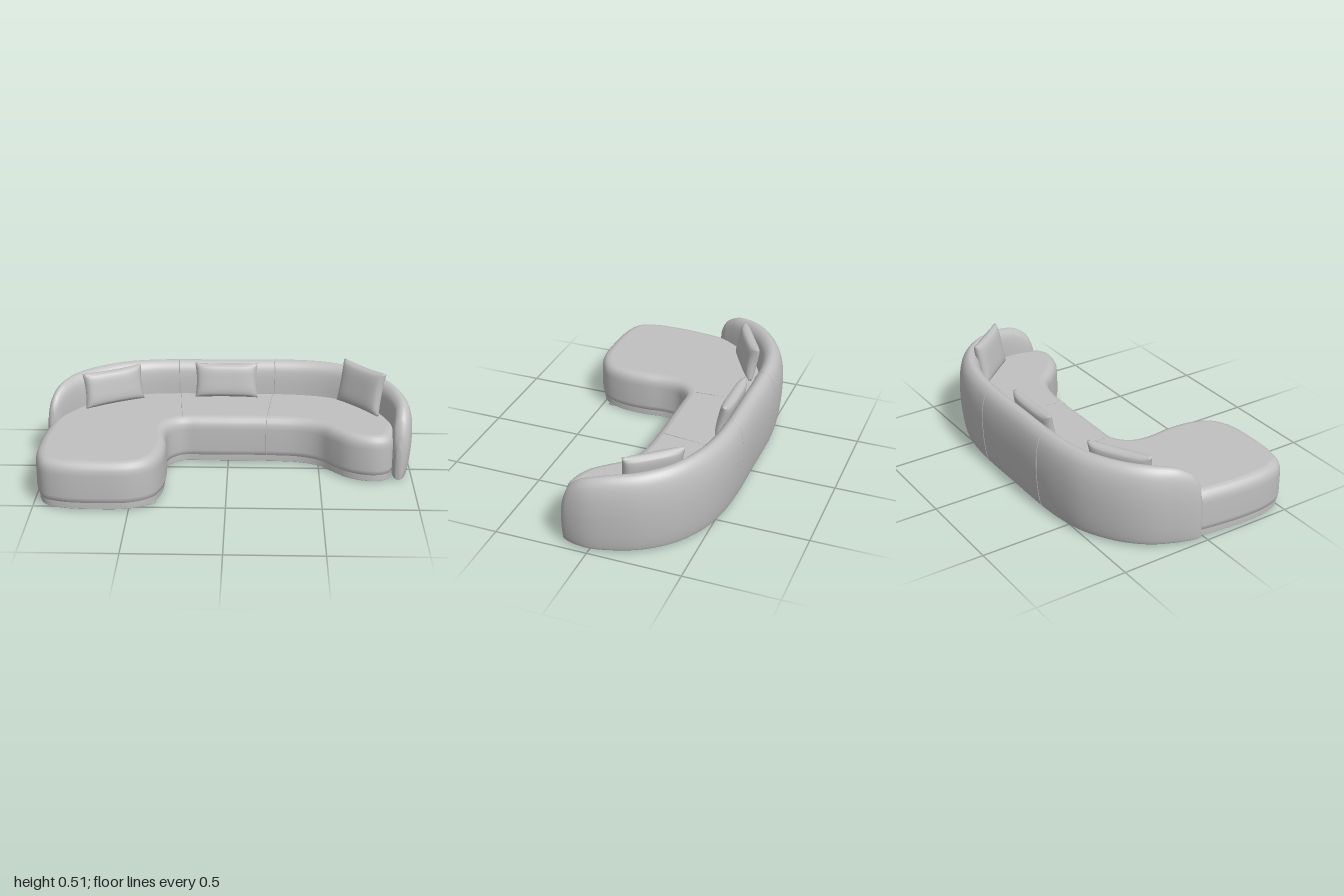
import * as THREE from 'three';
import { mergeVertices } from 'three/addons/utils/BufferGeometryUtils.js';

const fabric = new THREE.MeshStandardMaterial({ color: 0xc0c0c0 });
fabric.name = 'grey fabric';

function mesh(name, geometry) {
  const m = new THREE.Mesh(geometry, fabric);
  m.name = name;
  return m;
}

function build(positions, index) {
  const g = new THREE.BufferGeometry();
  g.setAttribute('position', new THREE.Float32BufferAttribute(positions, 3));
  g.setIndex(index);
  g.computeVertexNormals();
  return g;
}

// Plan of the seat (x, z), from the left of the chaise along the front and round the back
const plan = [
  [-0.965, -0.05], [-0.988, 0.1], [-0.998, 0.25], [-0.988, 0.4], [-0.945, 0.5], [-0.85, 0.545],
  [-0.65, 0.561], [-0.48, 0.545], [-0.375, 0.48], [-0.328, 0.36], [-0.32, 0.22], [-0.332, 0.09],
  [-0.315, 0.005], [-0.25, -0.055], [-0.15, -0.06], [0, -0.06], [0.21, -0.06], [0.4, -0.043],
  [0.5, 0.0], [0.57, 0.075], [0.64, 0.142], [0.72, 0.18], [0.8, 0.19], [0.87, 0.16],
  [0.9, 0.09], [0.92, -0.02], [0.89, -0.2], [0.8, -0.34], [0.65, -0.44], [0.4, -0.49],
  [-0.4, -0.49], [-0.65, -0.43], [-0.82, -0.31], [-0.92, -0.17],
];
const planCurve = new THREE.CatmullRomCurve3(plan.map(([x, z]) => new THREE.Vector3(x, 0, z)), true);

// Stack of inset outlines, each layer [inset, y], closed by flat caps
function stack(layers) {
  const n = 220, pos = [], index = [];
  const rings = layers.map(([inset, y]) => {
    const ring = [];
    for (let j = 0; j < n; j++) {
      const p = planCurve.getPointAt(j / n), t = planCurve.getTangentAt(j / n);
      ring.push(new THREE.Vector2(p.x + t.z * inset, p.z - t.x * inset));
      pos.push(ring[j].x, y, ring[j].y);
    }
    return ring;
  });
  for (let i = 0; i < layers.length - 1; i++) {
    for (let j = 0; j < n; j++) {
      const a = i * n + j, b = i * n + (j + 1) % n;
      index.push(a, b, a + n, b, b + n, a + n);
    }
  }
  for (const [k, up] of [[0, false], [layers.length - 1, true]]) {
    const ring = rings[k], base = pos.length / 3;
    ring.forEach((p) => pos.push(p.x, layers[k][1], p.y));
    for (const [a, b, c] of THREE.ShapeUtils.triangulateShape(ring, [])) {
      const A = ring[a], B = ring[b], C = ring[c];
      const facesUp = (B.y - A.y) * (C.x - A.x) - (B.x - A.x) * (C.y - A.y) > 0;
      if (facesUp === up) index.push(base + a, base + b, base + c);
      else index.push(base + a, base + c, base + b);
    }
  }
  return build(pos, index);
}

// Backrest stations: x, z, width, top height
const stations = [
  [-0.972, -0.025, 0.02, 0.22], [-0.967, -0.04, 0.05, 0.32], [-0.953, -0.075, 0.075, 0.38],
  [-0.922, -0.15, 0.1, 0.425], [-0.86, -0.26, 0.12, 0.443], [-0.76, -0.36, 0.13, 0.448],
  [-0.6, -0.45, 0.135, 0.45], [-0.45, -0.487, 0.13, 0.45], [-0.29, -0.5, 0.13, 0.45],
  [-0.01, -0.501, 0.13, 0.45], [0.26, -0.501, 0.13, 0.453], [0.45, -0.485, 0.13, 0.455],
  [0.6, -0.445, 0.13, 0.455], [0.75, -0.36, 0.125, 0.45], [0.86, -0.235, 0.12, 0.441],
  [0.92, -0.1, 0.115, 0.43], [0.944, 0, 0.11, 0.41], [0.942, 0.06, 0.105, 0.385],
  [0.932, 0.11, 0.095, 0.34], [0.925, 0.14, 0.07, 0.27], [0.92, 0.157, 0.03, 0.19],
];
const spine = new THREE.CatmullRomCurve3(stations.map(([x, z]) => new THREE.Vector3(x, 0, z)));
const sizes = new THREE.CatmullRomCurve3(stations.map(([, , w, h]) => new THREE.Vector3(w, h, 0)), false, 'catmullrom');

// Cross-section: across (outer to inner) and up, as fractions of width and height
const section = new THREE.CatmullRomCurve3([
  [-0.22, 0], [-0.3, 0.015], [-0.4, 0.15], [-0.48, 0.38], [-0.5, 0.6], [-0.45, 0.78], [-0.33, 0.91],
  [-0.13, 0.985], [0.05, 1], [0.25, 0.97], [0.4, 0.9], [0.47, 0.78], [0.5, 0.6], [0.5, 0.35],
  [0.42, 0.04], [0.34, 0],
].map(([a, v]) => new THREE.Vector3(a, v, 0)), true).getPoints(60).slice(0, 60);

function backRing(t) {
  const p = spine.getPoint(t), d = spine.getTangent(t), s = sizes.getPoint(t);
  return section.map(({ x: a, y: v }) => new THREE.Vector3(
    p.x - d.z * a * s.x, 0.012 + v * (s.y - 0.012), p.z + d.x * a * s.x));
}

function backrest() {
  const n = section.length, steps = 120, pos = [], index = [];
  for (let i = 0; i <= steps; i++) backRing(i / steps).forEach((p) => pos.push(p.x, p.y, p.z));
  for (let i = 0; i < steps; i++) {
    for (let j = 0; j < n; j++) {
      const a = i * n + j, b = i * n + (j + 1) % n;
      index.push(a, b, a + n, b, b + n, a + n);
    }
  }
  // End caps
  for (const i of [0, steps]) {
    const c = pos.length / 3, [x, z, , h] = stations[i ? stations.length - 1 : 0];
    pos.push(x, h / 2, z + 0.003);
    for (let j = 0; j < n; j++) {
      const a = i * n + j, b = i * n + (j + 1) % n;
      if (i) index.push(c, a, b); else index.push(c, b, a);
    }
  }
  return build(pos, index);
}

function piping(points, closed) {
  return new THREE.TubeGeometry(new THREE.CatmullRomCurve3(points, closed), 90, 0.0025, 6, closed);
}

// Soft cushion: a box puffed in the middle, pinched toward its edges
function pillow(w, h, depth) {
  const g = new THREE.BoxGeometry(2, 2, 2, 24, 20, 1);
  g.deleteAttribute('normal');
  g.deleteAttribute('uv');
  const p = g.attributes.position;
  for (let i = 0; i < p.count; i++) {
    const u = p.getX(i), v = p.getY(i);
    const puff = Math.sqrt((1 - u ** 4) * (1 - v ** 4));
    p.setXYZ(i,
      u * w / 2 * (1 - 0.05 * u * u * (1 - v * v)),
      v * h / 2 * (1 - 0.05 * v * v * (1 - u * u)),
      p.getZ(i) * (0.008 + (depth / 2 - 0.008) * puff));
  }
  const smooth = mergeVertices(g);
  smooth.computeVertexNormals();
  return smooth;
}

export function createModel() {
  const sofa = new THREE.Group();
  sofa.name = 'curvedSofa';

  sofa.add(mesh('plinth', stack([[0.014, 0.009], [0.012, 0.012], [0.012, 0.048]])));
  sofa.add(mesh('seat', stack([
    [0.018, 0.043], [0.006, 0.048], [0, 0.075], [0, 0.2], [0.003, 0.225], [0.01, 0.243],
    [0.021, 0.256], [0.035, 0.263], [0.05, 0.266],
  ])));
  sofa.add(mesh('backrest', backrest()));

  // Seams across the seat and round the backrest
  for (const [x0, x1, t] of [[-0.28, -0.25, 0.4], [0.25, 0.21, 0.5]]) {
    const path = [[0.266, -0.45], [0.266, -0.28], [0.266, -0.11], [0.256, -0.081], [0.243, -0.07],
      [0.2, -0.06], [0.075, -0.06], [0.048, -0.066]];
    sofa.add(mesh('seatSeam', piping(path.map(([y, z]) => new THREE.Vector3(
      THREE.MathUtils.mapLinear(z, -0.45, -0.06, x0, x1), y, z)), false)));
    sofa.add(mesh('backSeam', piping(backRing(t), true)));
  }

  // Loose pillows: x, y, z, width, height, turn, lean
  for (const [x, y, z, w, h, turn, lean] of [
    [-0.65, 0.363, -0.29, 0.35, 0.195, 0.51, -0.2],
    [-0.018, 0.363, -0.402, 0.355, 0.195, 0, -0.2],
    [0.737, 0.387, -0.247, 0.32, 0.24, -0.865, -0.2],
  ]) {
    const m = mesh('pillow', pillow(w, h, 0.07));
    m.position.set(x, y, z);
    m.rotation.set(lean, turn, 0, 'YXZ');
    sofa.add(m);
  }

  // Low feet under the chaise end
  for (const [x, z] of [[-0.85, 0.44], [-0.4, 0.44], [-0.36, -0.065], [-0.82, -0.23], [-0.36, -0.42]]) {
    const foot = mesh('foot', new THREE.CylinderGeometry(0.035, 0.035, 0.012, 20));
    foot.position.set(x, 0.006, z);
    sofa.add(foot);
  }
  return sofa;
}
